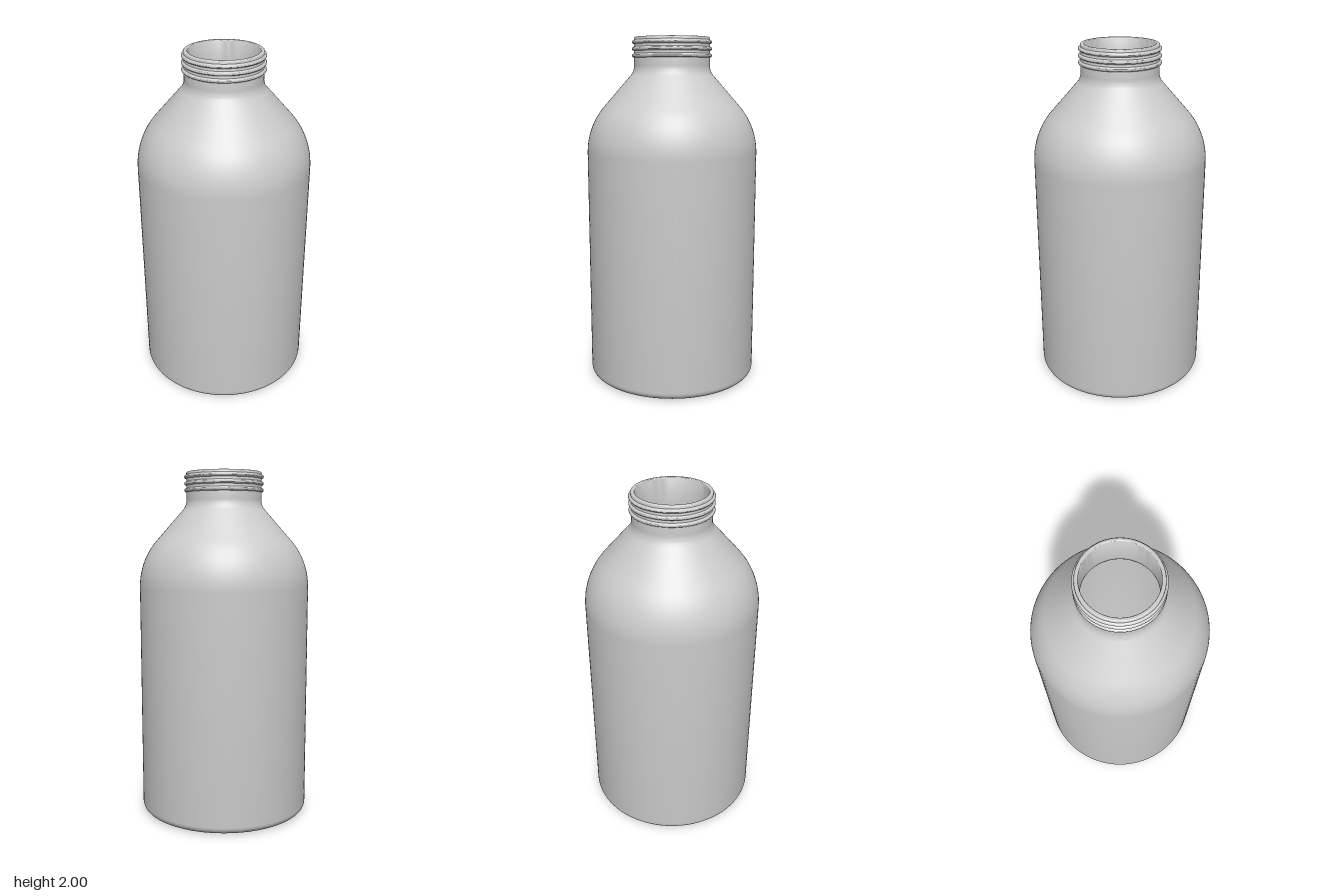
import * as THREE from 'three';
import { toCreasedNormals } from 'three/addons/utils/BufferGeometryUtils.js';

const material = new THREE.MeshStandardMaterial({ color: 0xcccccc });

// Points on an arc in the profile plane, angles in degrees
function arc(cx, cy, r, from, to, steps) {
  return Array.from({ length: steps + 1 }, (_, i) => {
    const a = THREE.MathUtils.degToRad(from + ((to - from) * i) / steps);
    return new THREE.Vector2(cx + r * Math.cos(a), cy + r * Math.sin(a));
  });
}

function lathe(name, points) {
  const geometry = toCreasedNormals(new THREE.LatheGeometry(points, 96), 0.6);
  const mesh = new THREE.Mesh(geometry, material);
  mesh.name = name;
  return mesh;
}

// Rounded base, straight wall, domed shoulder and neck, moved inwards by t
function wall(t) {
  return [
    new THREE.Vector2(0, t),
    ...arc(0.449, 0.045, 0.045 - t, -90, 0, 8),
    ...arc(0.086, 1.34, 0.408 - t, 0, 40.5, 16),
    ...arc(0.303, 1.84, 0.085 + t, 220.5, 180, 8),
  ];
}

export function createModel() {
  const group = new THREE.Group();
  group.name = 'bottle';

  // Hollow shell: up the outside, over the rounded lip, down the inside
  group.add(lathe('body', [
    ...wall(0),
    ...arc(0.21, 1.992, 0.008, 0, 90, 5),
    ...arc(0.203, 1.994, 0.006, 90, 180, 4),
    ...wall(0.021).reverse(),
  ]));

  // Raised thread rings around the neck
  for (const y of [1.972, 1.934, 1.896]) {
    group.add(lathe('threadRing', [
      new THREE.Vector2(0.214, y - 0.014),
      ...arc(0.22, y, 0.01, -65, 65, 8),
      new THREE.Vector2(0.214, y + 0.014),
    ]));
  }
  return group;
}
